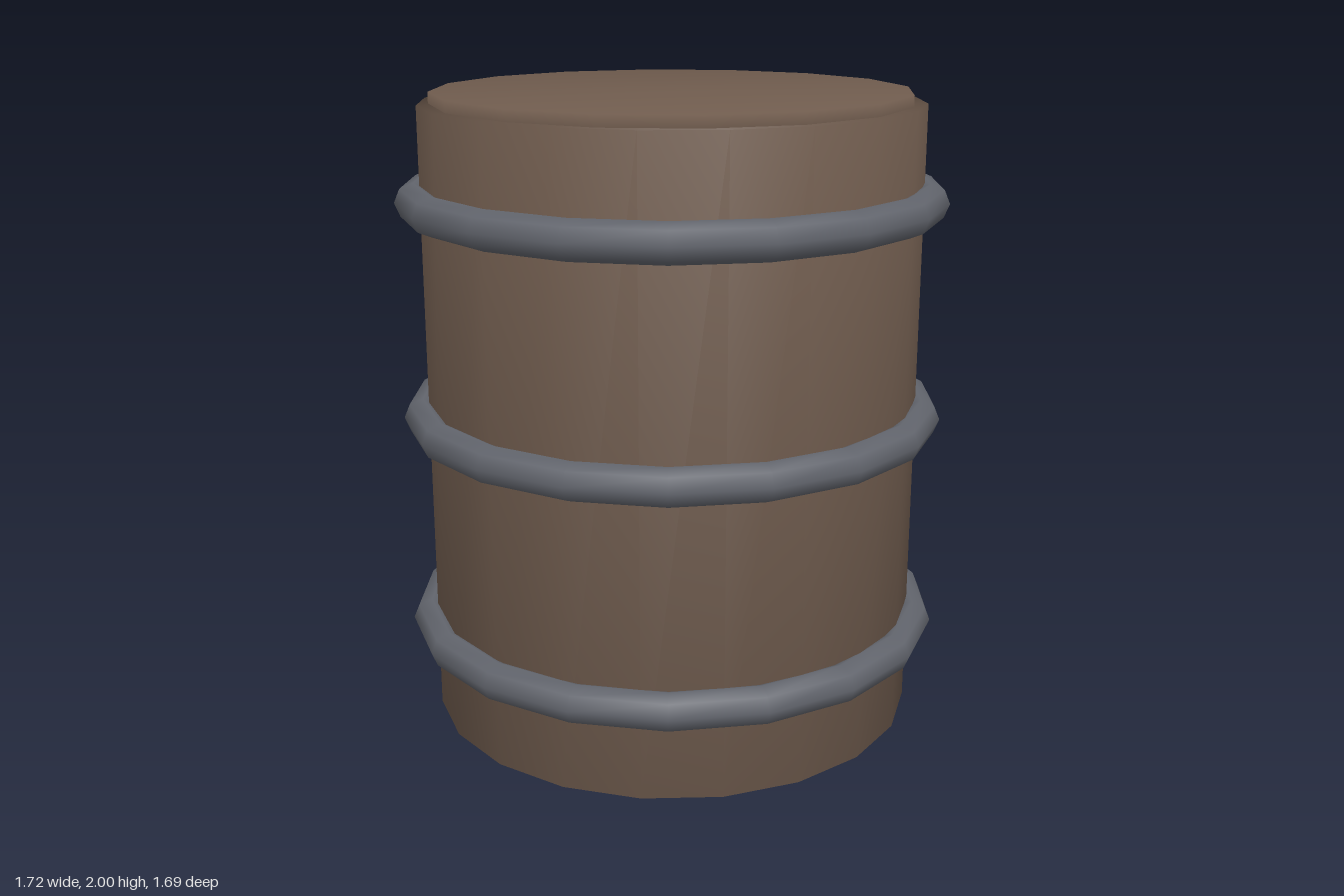
import * as THREE from 'three';
import { mergeVertices } from 'three/addons/utils/BufferGeometryUtils.js';

// Closed cylinder with shared corners, so shading rolls softly over the rims
function softCylinder(radius, bottom, top, sides) {
  const geometry = new THREE.CylinderGeometry(radius, radius, top - bottom, sides);
  geometry.deleteAttribute('normal');
  geometry.deleteAttribute('uv');
  const welded = mergeVertices(geometry, 1e-4);
  welded.computeVertexNormals();
  welded.translate(0, (top + bottom) / 2, 0);
  return welded;
}

export function createModel() {
  const model = new THREE.Group();
  model.name = 'barrel';

  const wood = new THREE.MeshStandardMaterial({ color: 0x705c4e });
  const metal = new THREE.MeshStandardMaterial({ color: 0x62656d });

  const add = (name, geometry, material) => {
    const mesh = new THREE.Mesh(geometry, material);
    mesh.name = name;
    model.add(mesh);
    return mesh;
  };

  // Wooden body and the slightly smaller lid standing proud of it
  add('body', softCylinder(0.782, 0, 1.965, 20), wood);
  add('lid', softCylinder(0.745, 1.88, 2, 16), wood);

  // Three metal hoops
  const hoop = new THREE.TorusGeometry(0.8, 0.06, 8, 18).rotateX(Math.PI / 2);
  [['lowerHoop', 0.298], ['middleHoop', 0.985], ['upperHoop', 1.67]].forEach(([name, y]) => {
    add(name, hoop, metal).position.y = y;
  });

  return model;
}
